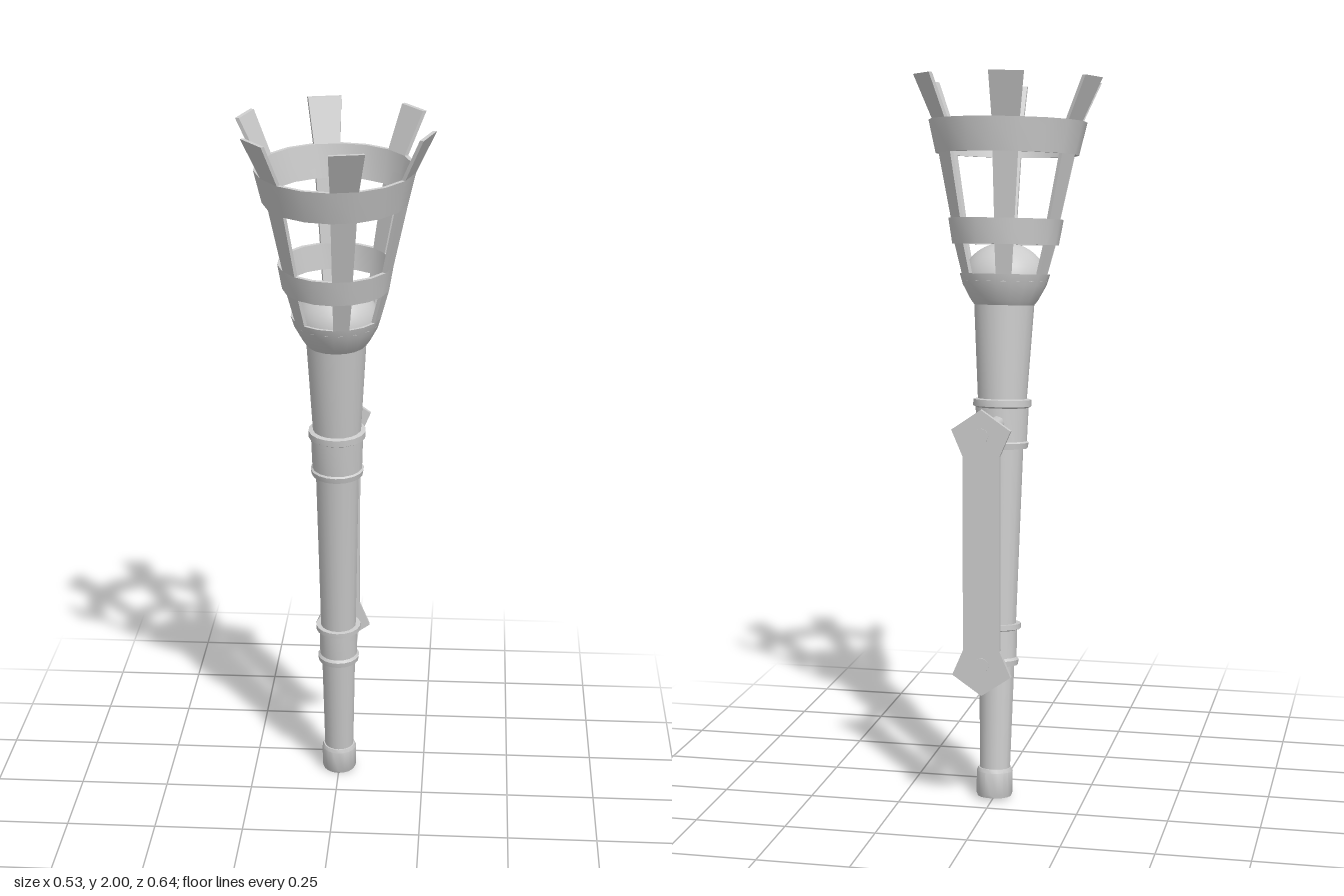
import * as THREE from 'three';
import { toCreasedNormals } from 'three/addons/utils/BufferGeometryUtils.js';

const SIDES = 18;
const STEP = (Math.PI * 2) / SIDES;
const WALL = 0.011;

export function createModel() {
  const model = new THREE.Group();
  model.name = 'wallTorch';
  const mat = new THREE.MeshStandardMaterial({ color: 0xcccccc });

  const add = (parent, name, geo) => {
    const mesh = new THREE.Mesh(geo, mat);
    mesh.name = name;
    parent.add(mesh);
    return mesh;
  };

  // Turned part from [radius, height] pairs, listed bottom to top
  const turned = (points, sides = SIDES) => toCreasedNormals(
    new THREE.LatheGeometry(points.map(([r, y]) => new THREE.Vector2(r, y)), sides), 0.5);

  // Thin-walled ring: the outer profile, then the inner one back down
  const shell = (outer) => {
    const inner = outer.map(([r, y]) => [r - WALL, y]).reverse();
    return turned([...outer, ...inner, outer[0]]);
  };

  // Everything on the torch axis leans forward
  const torch = new THREE.Group();
  torch.name = 'torch';
  torch.position.set(0, 0.005, -0.15);
  torch.rotation.x = 0.1;
  model.add(torch);

  add(torch, 'endCap', turned([[0, 0], [0.047, 0], [0.05, 0.008], [0.05, 0.07], [0.046, 0.08], [0.04, 0.08]]));
  add(torch, 'shaft', turned([[0.042, 0.07], [0.061, 1.0], [0.067, 1.1], [0.083, 1.375]]));
  add(torch, 'lowerCollar', turned([
    [0.045, 0.37], [0.058, 0.37], [0.06, 0.385], [0.054, 0.392],
    [0.054, 0.468], [0.064, 0.472], [0.064, 0.486], [0.045, 0.486],
  ]));
  add(torch, 'upperCollar', turned([
    [0.055, 0.972], [0.072, 0.972], [0.075, 0.988], [0.07, 0.992],
    [0.073, 1.084], [0.08, 1.088], [0.08, 1.106], [0.06, 1.11],
  ]));

  // Fire basket: a bowl, two hoops and the slats between them
  const basket = new THREE.Group();
  basket.name = 'fireBasket';
  torch.add(basket);
  add(basket, 'bowl', turned([
    [0, 1.365], [0.082, 1.365], [0.092, 1.378], [0.115, 1.42], [0.124, 1.45],
    [0.124 - WALL, 1.45], [0.104, 1.42], [0, 1.42],
  ]));
  add(basket, 'lowerHoop', shell([[0.146, 1.53], [0.158, 1.6]]));
  add(basket, 'upperHoop', shell([[0.196, 1.775], [0.217, 1.865]]));

  // Rounded fuel mound resting in the bowl
  const mound = add(basket, 'fuelMound',
    new THREE.SphereGeometry(0.117, 36, 12, 0, Math.PI * 2, 0, Math.PI / 2));
  mound.scale.y = 0.9;
  mound.position.y = 1.43;

  // Slat: a box bent into one facet of the basket wall
  const slat = (phi, [r0, y0], [r1, y1]) => {
    const geo = new THREE.BoxGeometry(1, 1, 1);
    const p = geo.attributes.position;
    for (let i = 0; i < p.count; i++) {
      const top = p.getY(i) > 0;
      const r = (top ? r1 : r0) - (p.getZ(i) > 0 ? 0 : WALL);
      const a = phi + (p.getX(i) > 0 ? STEP : 0);
      p.setXYZ(i, r * Math.sin(a), top ? y1 : y0, r * Math.cos(a));
    }
    geo.computeVertexNormals();
    return geo;
  };
  const rows = [
    ['lowerSlat', [0.124, 1.45], [0.146, 1.53]],
    ['middleSlat', [0.158, 1.6], [0.196, 1.775]],
    ['topProng', [0.217, 1.865], [0.271, 1.98]],
  ];
  for (const [name, bottom, top] of rows) {
    for (let i = 0; i < SIDES; i += 3) add(basket, name, slat(i * STEP, bottom, top));
  }

  // Upright wall plate with pointed, flared ends
  const bracket = new THREE.Group();
  bracket.name = 'wallBracket';
  model.add(bracket);
  const right = [[0, -0.39], [0.08, -0.335], [0.05, -0.265], [0.05, 0.265], [0.08, 0.335], [0, 0.39]];
  const left = right.slice(1, -1).reverse().map(([x, y]) => [-x, y]);
  const outline = new THREE.Shape([...right, ...left].map(([x, y]) => new THREE.Vector2(x, y)));
  const plate = add(bracket, 'wallPlate',
    new THREE.ExtrudeGeometry(outline, { depth: 0.014, bevelEnabled: false }));
  plate.position.set(0, 0.73, -0.318);

  // Horizontal arms from the collars through the plate
  for (const [y, zFront] of [[1.05, -0.07], [0.425, -0.12]]) {
    const length = zFront + 0.32;
    const arm = add(bracket, 'bracketArm',
      toCreasedNormals(new THREE.CylinderGeometry(0.021, 0.021, length, 8), 0.9));
    arm.rotation.x = Math.PI / 2;
    arm.position.set(0, y, zFront - length / 2);
  }

  return model;
}
